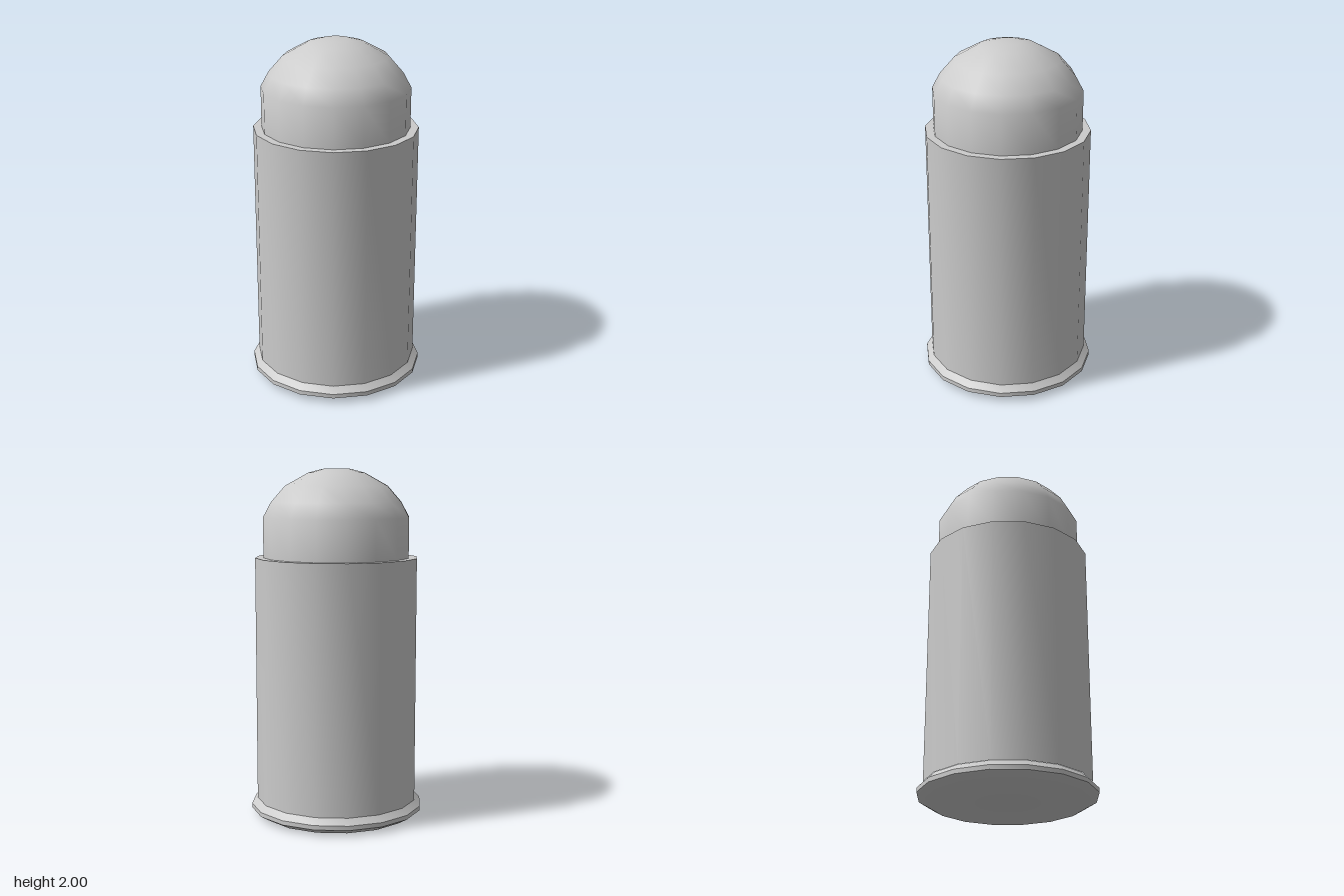
import * as THREE from 'three';
import { toCreasedNormals } from 'three/addons/utils/BufferGeometryUtils.js';

const SIDES = 16;

// Turned part from [radius, y] pairs listed bottom to top; sharp corners stay creased.
function turnedPart(name, profile, material) {
  const points = profile.map(([r, y]) => new THREE.Vector2(r, y));
  const geometry = toCreasedNormals(new THREE.LatheGeometry(points, SIDES), THREE.MathUtils.degToRad(40));
  const mesh = new THREE.Mesh(geometry, material);
  mesh.name = name;
  return mesh;
}

export function createModel() {
  const group = new THREE.Group();
  group.name = 'cartridge';
  const grey = new THREE.MeshStandardMaterial({ color: 0xcccccc });

  // Flanged base with a bevel above and below
  group.add(turnedPart('baseRim', [
    [0, 0], [0.44, 0], [0.5, 0.035], [0.5, 0.06], [0.465, 0.095],
  ], grey));

  // Straight case with a flat shoulder ring around the dome
  group.add(turnedPart('case', [
    [0.467, 0.095], [0.467, 1.5], [0.42, 1.5],
  ], grey));

  // Rounded tip with a small flat top
  group.add(turnedPart('domeTip', [
    [0.42, 1.5], [0.42, 1.73], [0.374, 1.815], [0.295, 1.905],
    [0.163, 1.978], [0.08, 2], [0, 2],
  ], grey));

  return group;
}
